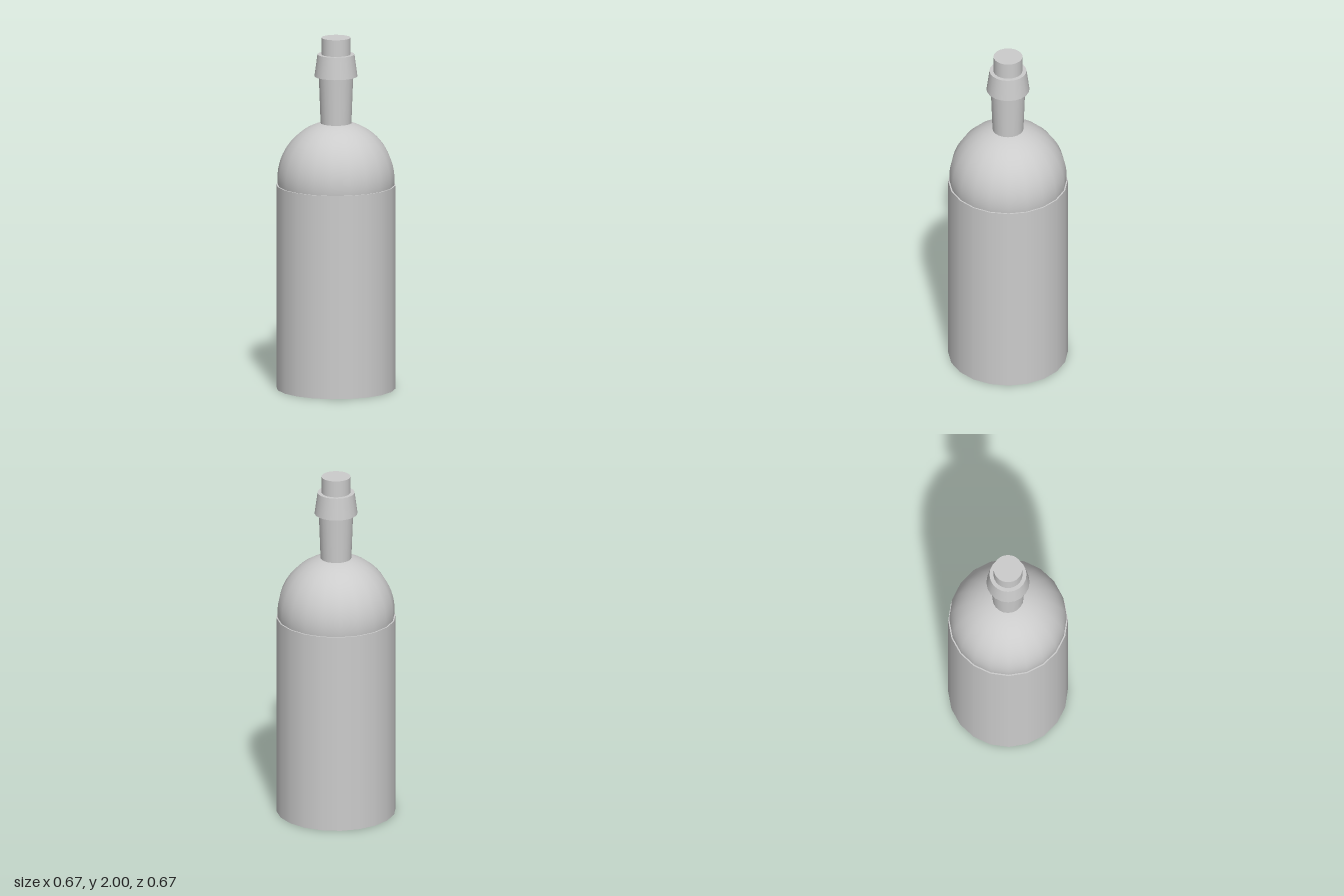
import * as THREE from 'three';

export function createModel() {
  const group = new THREE.Group();
  const material = new THREE.MeshStandardMaterial({ color: 0xcccccc });
  const SIDES = 20;

  function add(name, geometry, y) {
    const mesh = new THREE.Mesh(geometry, material);
    mesh.name = name;
    mesh.position.y = y;
    group.add(mesh);
  }

  // Round section between two heights, with its own top and bottom radius
  function section(name, rTop, rBottom, y0, y1, sides = SIDES) {
    add(name, new THREE.CylinderGeometry(rTop, rBottom, y1 - y0, sides), (y0 + y1) / 2);
  }

  section('body', 0.335, 0.335, 0, 1.16);

  // Domed shoulder, its lower rim sunk just inside the body
  add('shoulder', new THREE.SphereGeometry(0.329, SIDES, 20, 0, Math.PI * 2, 0, Math.PI * 0.56), 1.195);

  section('neck', 0.097, 0.086, 1.49, 1.79);
  section('collar', 0.104, 0.121, 1.78, 1.905);
  section('cork', 0.081, 0.081, 1.88, 2, 32);

  return group;
}
